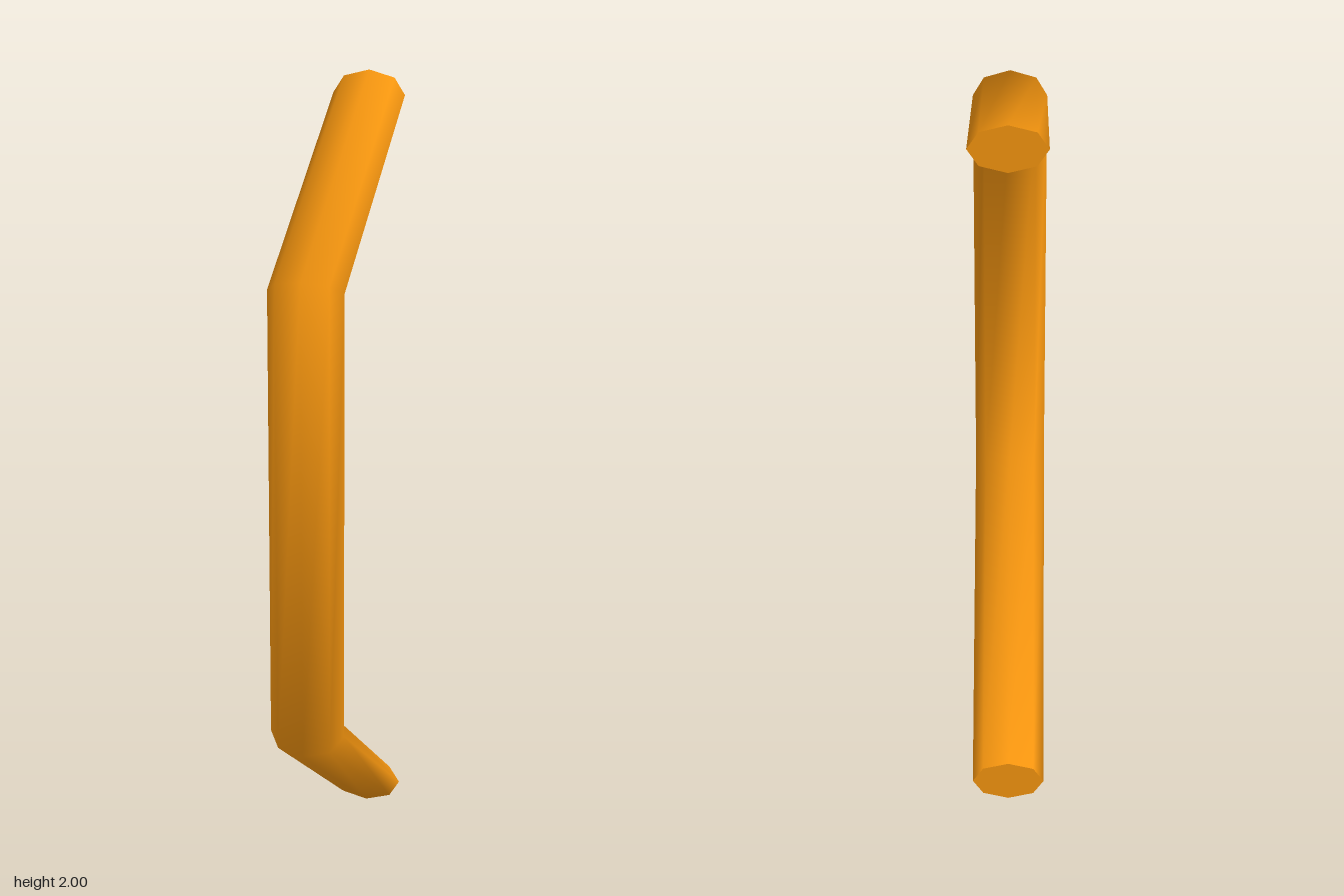
import * as THREE from 'three';

const SIDES = 8;
const HALF_WIDTH = 0.09;

// Stations along the bar: outer and inner edge of each cross-section as [y, z]
const STATIONS = [
  { outer: [2.0, -0.395], inner: [1.88, -0.395] },
  { outer: [1.68, 0.395], inner: [1.605, 0.285] },
  { outer: [0.5, 0.395], inner: [0.575, 0.285] },
  { outer: [0.0, -0.395], inner: [0.12, -0.395] },
];

// Oval eight-sided sections, mitred at the bends and joined smoothly
function barGeometry() {
  const positions = [];
  const index = [];
  STATIONS.forEach(({ outer, inner }, i) => {
    for (let j = 0; j < SIDES; j++) {
      const a = (j / SIDES) * Math.PI * 2;
      const t = (1 - Math.cos(a)) / 2;
      positions.push(
        HALF_WIDTH * Math.sin(a),
        THREE.MathUtils.lerp(outer[0], inner[0], t),
        THREE.MathUtils.lerp(outer[1], inner[1], t),
      );
      if (i < STATIONS.length - 1) {
        const k = (j + 1) % SIDES;
        const p = i * SIDES + j, q = i * SIDES + k;
        index.push(p, p + SIDES, q, q, p + SIDES, q + SIDES);
      }
    }
  });
  const geometry = new THREE.BufferGeometry();
  geometry.setAttribute('position', new THREE.Float32BufferAttribute(positions, 3));
  geometry.setIndex(index);
  geometry.computeVertexNormals();
  return geometry;
}

export function createModel() {
  const group = new THREE.Group();
  group.name = 'pullHandle';
  const material = new THREE.MeshStandardMaterial({ color: 0xf5950f });

  const bar = new THREE.Mesh(barGeometry(), material);
  bar.name = 'bentBar';
  group.add(bar);

  // Flat mounting faces at the back
  for (const [name, y] of [['upperMountFace', 1.94], ['lowerMountFace', 0.06]]) {
    const face = new THREE.Mesh(new THREE.CircleGeometry(1, SIDES), material);
    face.name = name;
    face.scale.set(HALF_WIDTH, 0.06, 1);
    face.rotation.y = Math.PI;
    face.position.set(0, y, -0.395);
    group.add(face);
  }
  return group;
}
